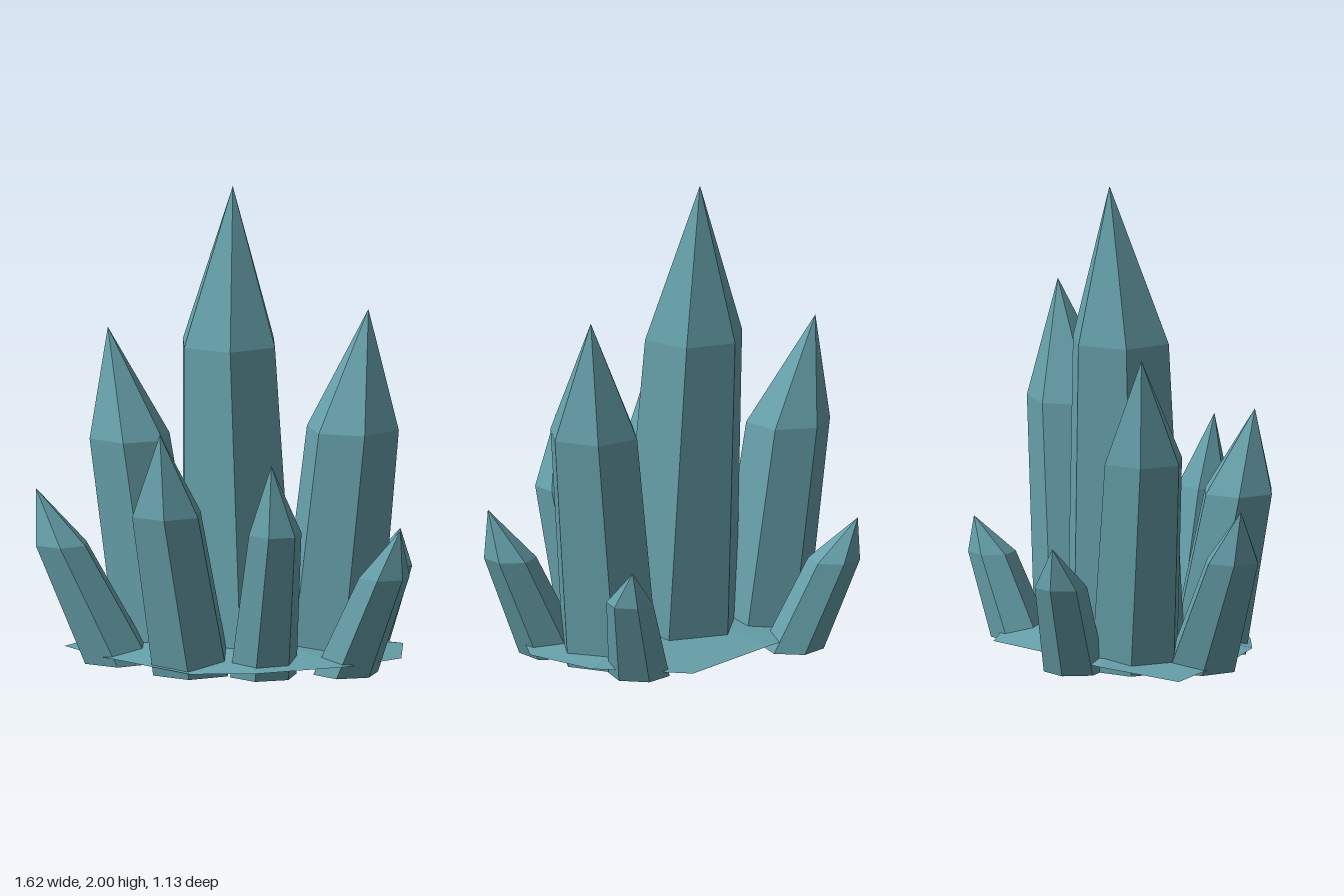
import * as THREE from 'three';

const material = new THREE.MeshStandardMaterial({
  color: 0x66a0aa, flatShading: true, side: THREE.DoubleSide,
});

// Triangles from a flat list of corner vectors
function facets(name, corners) {
  const geometry = new THREE.BufferGeometry().setFromPoints(corners);
  geometry.computeVertexNormals();
  const mesh = new THREE.Mesh(geometry, material);
  mesh.name = name;
  return mesh;
}

// Horizontal hexagon around [x, y, z], turned by a number of degrees
function hexagon([x, y, z], radius, turn) {
  return Array.from({ length: 6 }, (_, i) => {
    const a = THREE.MathUtils.degToRad(turn + i * 60);
    return new THREE.Vector3(x + radius * Math.cos(a), y, z + radius * Math.sin(a));
  });
}

// Leaning six-sided crystal: flat foot, level shoulder, pointed tip
function crystal({ name, foot, footR, shoulder, shoulderR, tip, turn }) {
  const low = hexagon([foot[0], 0, foot[1]], footR, turn);
  const high = hexagon(shoulder, shoulderR, turn);
  const apex = new THREE.Vector3(...tip);
  const centre = new THREE.Vector3(foot[0], 0, foot[1]);
  const corners = [];
  for (let i = 0; i < 6; i++) {
    const j = (i + 1) % 6;
    corners.push(low[i], high[i], high[j], low[i], high[j], low[j]); // side
    corners.push(high[i], apex, high[j]); // tip facet
    corners.push(centre, low[i], low[j]); // underside
  }
  return facets(name, corners);
}

const crystals = [
  { name: 'centreCrystal', foot: [0, -0.03], footR: 0.27, shoulder: [-0.06, 1.34, -0.07], shoulderR: 0.22, tip: [-0.06, 2, -0.12], turn: 10 },
  { name: 'tallRightCrystal', foot: [-0.37, -0.1], footR: 0.2, shoulder: [-0.51, 0.91, -0.1], shoulderR: 0.18, tip: [-0.62, 1.36, -0.14], turn: 20 },
  { name: 'tallLeftCrystal', foot: [0.37, -0.1], footR: 0.22, shoulder: [0.47, 1.0, -0.125], shoulderR: 0.2, tip: [0.52, 1.5, -0.18], turn: -3 },
  { name: 'frontRightCrystal', foot: [-0.1, 0.3], footR: 0.18, shoulder: [-0.175, 0.69, 0.41], shoulderR: 0.16, tip: [-0.18, 1.04, 0.48], turn: 15 },
  { name: 'frontLeftCrystal', foot: [0.21, 0.28], footR: 0.145, shoulder: [0.3, 0.63, 0.39], shoulderR: 0.115, tip: [0.3, 0.93, 0.44], turn: 25 },
  { name: 'outerRightCrystal', foot: [-0.47, 0.16], footR: 0.16, shoulder: [-0.7, 0.5, 0.235], shoulderR: 0.12, tip: [-0.81, 0.73, 0.24], turn: 13 },
  { name: 'outerLeftCrystal', foot: [0.52, 0.12], footR: 0.14, shoulder: [0.705, 0.43, 0.16], shoulderR: 0.11, tip: [0.79, 0.64, 0.2], turn: 27 },
  { name: 'backRightCrystal', foot: [-0.37, -0.36], footR: 0.13, shoulder: [-0.51, 0.39, -0.46], shoulderR: 0.11, tip: [-0.59, 0.57, -0.52], turn: 40 },
  { name: 'backLeftCrystal', foot: [0.4, -0.37], footR: 0.13, shoulder: [0.51, 0.35, -0.47], shoulderR: 0.1, tip: [0.54, 0.5, -0.54], turn: -17 },
];

// Uneven rim of the rocky sheet the crystals grow through
const rim = [
  [-0.77, 0.01, -0.02], [-0.56, 0.05, -0.31], [-0.2, 0.05, -0.44], [0.24, 0.02, -0.54],
  [0.62, 0.05, -0.34], [0.72, 0.05, -0.02], [0.58, 0.06, 0.28], [0.25, 0.05, 0.5],
  [-0.04, 0.03, 0.5], [-0.35, 0.05, 0.42], [-0.49, 0.04, 0.31],
].map((p) => new THREE.Vector3(...p));

function rockSheet() {
  const top = new THREE.Vector3(0, 0.13, 0);
  const corners = [];
  rim.forEach((p, i) => corners.push(top, rim[(i + 1) % rim.length], p));
  // keep every facet facing up
  for (let i = 0; i < corners.length; i += 3) {
    const [a, b, c] = corners.slice(i, i + 3);
    const up = b.clone().sub(a).cross(c.clone().sub(a)).y;
    if (up < 0) [corners[i + 1], corners[i + 2]] = [c, b];
  }
  return facets('rockBase', corners);
}

export function createModel() {
  const model = new THREE.Group();
  model.name = 'crystalCluster';
  crystals.forEach((c) => model.add(crystal(c)));
  model.add(rockSheet());
  return model;
}
